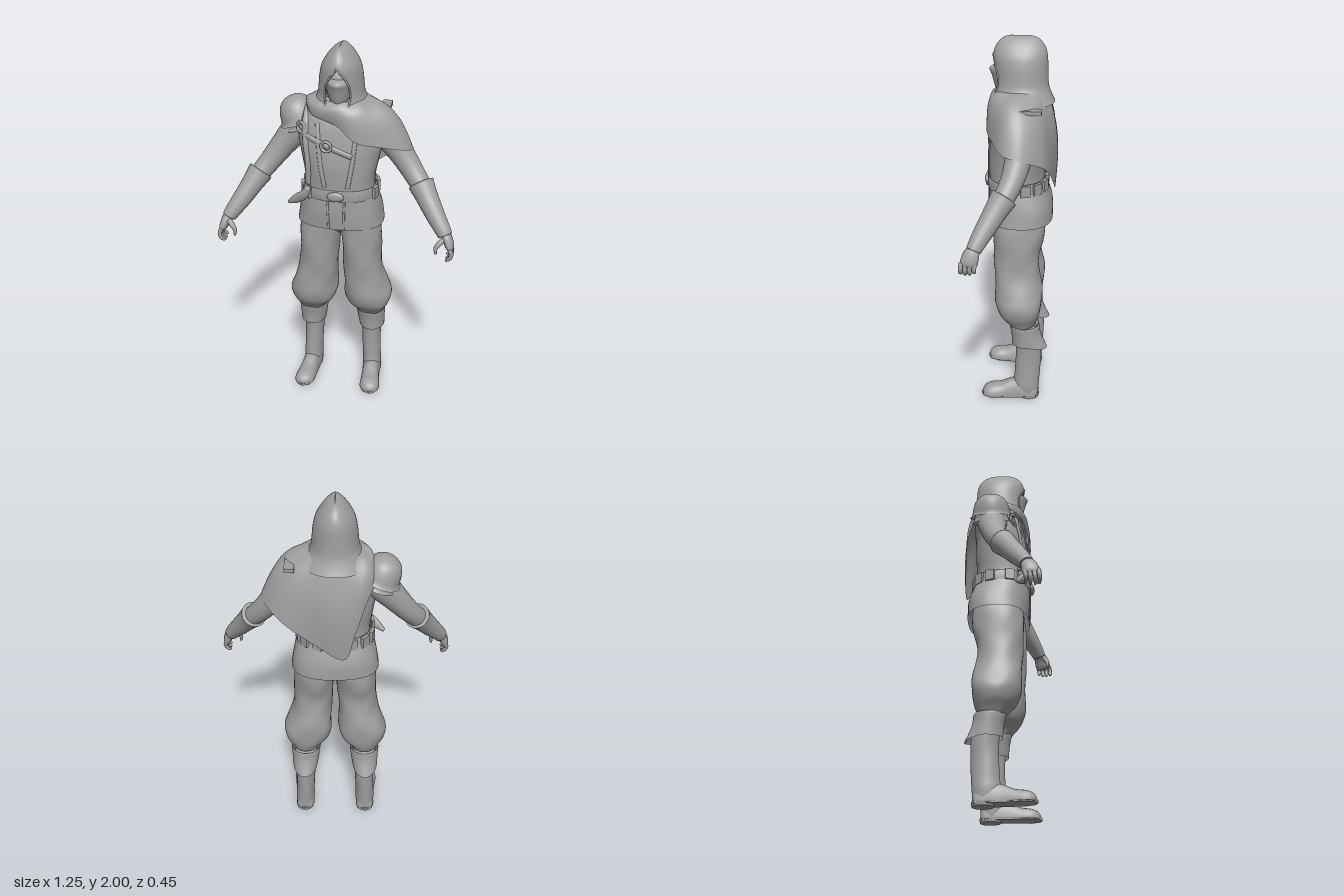
import * as THREE from 'three';

const V = (x, y, z) => new THREE.Vector3(x, y, z);
const grey = new THREE.MeshStandardMaterial({ color: 0xa0a0a0, side: THREE.DoubleSide });
grey.name = 'grey cloth';

// Skin a grid of points; each row is a loop (closed) or an open strip.
function skin(rows, closed = true) {
  const n = rows[0].length, pos = [], idx = [];
  rows.forEach(r => r.forEach(p => pos.push(p.x, p.y, p.z)));
  for (let i = 0; i < rows.length - 1; i++)
    for (let j = 0; j < (closed ? n : n - 1); j++) {
      const k = (j + 1) % n, a = i * n + j, b = i * n + k, c = a + n, d = b + n;
      idx.push(a, b, c, b, d, c);
    }
  const g = new THREE.BufferGeometry();
  g.setAttribute('position', new THREE.Float32BufferAttribute(pos, 3));
  g.setIndex(idx);
  g.computeVertexNormals();
  return g;
}

// Smoothly subdivide a list of equally long number tuples.
function smooth(keys, sub = 5) {
  const out = [], at = i => keys[Math.max(0, Math.min(keys.length - 1, i))];
  for (let i = 0; i < keys.length - 1; i++)
    for (let s = 0; s < sub; s++) {
      const t = s / sub;
      out.push(keys[i].map((b, k) => {
        const a = at(i - 1)[k], c = at(i + 1)[k], d = at(i + 2)[k];
        return b + 0.5 * t * (c - a + t * (2 * a - 5 * b + 4 * c - d + t * (3 * (b - c) + d - a)));
      }));
    }
  out.push(keys[keys.length - 1]);
  return out;
}

const pw = (v, e) => Math.sign(v) * Math.pow(Math.abs(v), e);

// Upright loft: rings are [y, centre x, centre z, radius x, radius z].
function loft(rings, { power = 2, fold = 0, cap = false, n = 40, sub = 5 } = {}) {
  const rows = smooth(rings, sub).map(([y, cx, cz, rx, rz]) => Array.from({ length: n }, (_, j) => {
    const a = j / n * Math.PI * 2;
    const f = 1 + fold * (Math.sin(3 * a + 24 * y) + 0.7 * Math.sin(5 * a - 31 * y + 1));
    return V(cx + rx * f * pw(Math.sin(a), 2 / power), y, cz + rz * f * pw(Math.cos(a), 2 / power));
  }));
  if (cap) {
    const centre = ([y, cx, cz]) => Array.from({ length: n }, () => V(cx, y, cz));
    rows.unshift(centre(rings[0]));
    rows.push(centre(rings[rings.length - 1]));
  }
  return skin(rows);
}

// Sweep along a path: points are [x, y, z, radius across, radius deep].
function sweep(points, n = 16, sub = 5) {
  const p = smooth(points, sub), rows = p.map((q, i) => {
    const a = p[Math.max(0, i - 1)], b = p[Math.min(p.length - 1, i + 1)];
    const d = V(b[0] - a[0], b[1] - a[1], b[2] - a[2]).normalize();
    const u = d.clone().cross(V(0, 0, 1)).normalize(), v = d.clone().cross(u);
    return Array.from({ length: n }, (_, j) => {
      const t = j / n * Math.PI * 2;
      return V(q[0], q[1], q[2]).addScaledVector(u, q[3] * Math.cos(t)).addScaledVector(v, (q[4] ?? q[3]) * Math.sin(t));
    });
  });
  const tip = q => Array.from({ length: n }, () => V(q[0], q[1], q[2]));
  return skin([tip(p[0]), ...rows, tip(p[p.length - 1])]);
}

const torsoRings = [[1.22, 0, -.015, .183, .145], [1.3, 0, -.013, .182, .145], [1.4, 0, -.015, .198, .148],
  [1.5, 0, -.02, .216, .143], [1.6, 0, -.035, .22, .138], [1.68, 0, -.045, .18, .118], [1.74, 0, -.04, .09, .08]];
const skirtRings = [[1.045, 0, -.04, .232, .166], [1.14, 0, -.035, .217, .167], [1.25, 0, -.015, .187, .148]];

// Depth of the tunic front at a given spot.
function frontZ(x, y) {
  const R = y < 1.22 ? skirtRings : torsoRings;
  let i = 0;
  while (i < R.length - 2 && R[i + 1][0] < y) i++;
  const t = (y - R[i][0]) / (R[i + 1][0] - R[i][0]), m = k => R[i][k] + (R[i + 1][k] - R[i][k]) * t;
  return m(2) + m(4) * Math.pow(Math.max(0, 1 - Math.pow(Math.abs(x / m(3)), 2.4)), 1 / 2.4);
}
const strap = (pts, w, d) => sweep(smooth(pts, 3).map(([x, y]) => [x, y, frontZ(x, y) + .001, w, d]), 10, 2);

export function createModel() {
  const model = new THREE.Group();
  const add = (name, g) => {
    const m = new THREE.Mesh(g, grey);
    m.name = name;
    model.add(m);
    return m;
  };

  // Tunic, skirt and chest details
  add('tunic', loft(torsoRings, { power: 2.4, fold: .006 }));
  add('skirt', loft(skirtRings, { power: 2.5, fold: .007 }));
  add('hips', loft([[.975, 0, -.035, .02, .06], [1.03, 0, -.035, .12, .11], [1.12, 0, -.035, .17, .13]], { cap: true }));
  for (const s of [-1, 1]) {
    add('chestSeam', strap([[s * .1, 1.62], [s * .085, 1.45], [s * .06, 1.29]], .012, .005));
    add('skirtSeam', strap([[s * .045, 1.21], [s * .042, 1.13], [s * .04, 1.05]], .006, .004));
  }
  add('chestStrap', strap([[-.19, 1.56], [-.05, 1.515], [.08, 1.465]], .015, .008));
  add('shoulderStrap', strap([[-.165, 1.69], [-.165, 1.55], [-.15, 1.42], [-.15, 1.28]], .018, .01));
  for (const [x, y, r] of [[-.05, 1.515, .026], [-.19, 1.585, .028]]) {
    const ring = add('strapRing', new THREE.TorusGeometry(r, .008, 8, 24));
    ring.position.set(x, y, frontZ(x, y) + .01);
    ring.rotation.y = x * 3;
  }

  // Belt, buckle, pouches and sheath
  add('belt', loft([[1.215, 0, -.017, .19, .15], [1.22, 0, -.017, .196, .155], [1.27, 0, -.015, .194, .154], [1.275, 0, -.015, .187, .148]], { power: 2.4, sub: 2 }));
  const buckle = add('buckle', new THREE.SphereGeometry(1, 24, 12));
  buckle.scale.set(.045, .027, .014);
  buckle.position.set(0, 1.245, .143);
  for (const a of [-2.75, -2.3, -1.85, -1.3, -.85, 1.3, 1.85, 2.3, 2.75, 3.14]) {
    const pouch = add('pouch', new THREE.BoxGeometry(.05, .06, .024));
    pouch.position.set(.195 * pw(Math.sin(a), .83), 1.243, -.016 + .155 * pw(Math.cos(a), .83));
    pouch.rotation.y = a;
  }
  add('sheath', sweep([[-.145, 1.28, .125, .014, .014], [-.17, 1.235, .118, .024, .016], [-.21, 1.2, .1, .026, .016], [-.26, 1.165, .08, .01, .01]]));

  // Face, mask and hood
  const face = add('head', new THREE.SphereGeometry(1, 32, 20));
  face.scale.set(.075, .115, .1);
  face.position.set(0, 1.825, -.005);
  add('mask', loft([[1.695, 0, .05, .012, .02], [1.735, 0, .04, .046, .056], [1.8, 0, .03, .066, .085], [1.835, 0, .028, .068, .098], [1.855, 0, .01, .07, .085]], { power: 1.7, cap: true }));
  add('neck', new THREE.CylinderGeometry(.065, .08, .14, 24)).position.set(0, 1.7, -.03);
  const hoodKeys = [[2, -.03, .0005, .05, 0], [1.987, -.03, .034, .088, 0], [1.95, -.03, .069, .122, 0], [1.905, -.03, .096, .136, .04],
    [1.85, -.033, .109, .136, .42], [1.8, -.035, .114, .135, .58], [1.75, -.037, .122, .138, .54], [1.71, -.04, .146, .148, .36], [1.67, -.047, .175, .16, .05]];
  add('hood', skin(smooth(hoodKeys).map(([y, cz, rx, rz, open]) => Array.from({ length: 49 }, (_, j) => {
    const gap = Math.max(0, open), a = gap + (Math.PI * 2 - 2 * gap) * j / 48;
    return V(rx * Math.sin(a), y, cz + rz * Math.cos(a));
  })), false));
  for (const s of [-1, 1])
    add('hoodHem', sweep(hoodKeys.slice(3).map(([y, cz, rx, rz, o]) => [s * rx * Math.sin(o), y, cz + rz * Math.cos(o), .005]), 8));

  // Lopsided shoulder cape with a pointed back
  const hem = new THREE.CatmullRomCurve3([V(-.13, 1.66, .075), V(0, 1.625, .115), V(.1, 1.55, .135), V(.22, 1.52, .1),
    V(.35, 1.485, .03), V(.37, 1.465, -.06), V(.28, 1.4, -.17), V(.1, 1.27, -.205), V(-.05, 1.185, -.215), V(-.1, 1.33, -.21),
    V(-.15, 1.5, -.195), V(-.2, 1.62, -.13), V(-.18, 1.68, -.02)], true, 'centripetal').getPoints(72).slice(0, 72);
  const capeRows = [];
  for (let i = 0; i <= 14; i++) {
    const t = i / 14;
    capeRows.push(hem.map(p => {
      const a = Math.atan2(p.x, p.z + .04), q = V(.118 * Math.sin(a), 1.74, -.04 + .127 * Math.cos(a)).lerp(p, t);
      const b = Math.sin(Math.PI * t), side = Math.max(0, Math.sin(a)), back = Math.max(0, -Math.cos(a));
      q.y += b * (.012 + .045 * side) + .004 * b * Math.sin(9 * a + 5 * t);
      q.x += Math.sin(a) * b * .025;
      q.z += Math.cos(a) * b * (.02 + .014 * back);
      return q;
    }));
  }
  add('cape', skin(capeRows));

  // Shoulder guard with a flared rim, and a tab on the other shoulder
  for (const k of [1, .9]) {
    const profile = [[0, .1], [.04, .093], [.075, .066], [.092, .025], [.1, -.015], [.112, -.03]];
    const guard = add('shoulderGuard', new THREE.LatheGeometry(smooth(profile, 3).map(([r, y]) => new THREE.Vector2(r * k, y - (1 - k) * .3)), 32));
    guard.position.set(-.232, 1.612, -.06);
    guard.rotation.z = .38;
    guard.scale.z = 1.05;
  }
  const tab = add('shoulderTab', new THREE.BoxGeometry(.05, .02, .14));
  tab.position.set(.222, 1.672, -.08);

  for (const s of [-1, 1]) {
    // Arm, bracer and hand
    const m = pts => pts.map(([x, ...r]) => [s * x, ...r]);
    add('arm', sweep(m([[.16, 1.61, -.06, .08], [.23, 1.54, -.055, .08], [.305, 1.45, -.04, .067], [.37, 1.365, -.015, .058], [.43, 1.29, .025, .052], [.5, 1.2, .085, .045], [.57, 1.09, .15, .03]]), 24));
    add('bracer', sweep(m([[.425, 1.303, .018, .068], [.46, 1.25, .053, .058], [.51, 1.175, .1, .05], [.557, 1.11, .14, .041], [.572, 1.085, .152, .037]]), 24));
    add('palm', sweep(m([[.567, 1.1, .148, .028, .03], [.586, 1.07, .162, .026, .04], [.6, 1.035, .172, .022, .043], [.606, 1.015, .176, .013, .037]])));
    for (let f = 0; f < 4; f++) {
      const z = .142 + f * .022, l = [.85, 1, 1, .92][f];
      add('finger', sweep(m([[.602, 1.035, z, .012], [.612, 1.035 - .03 * l, z + .005, .011], [.604, 1.035 - .055 * l, z + .006, .01], [.584, 1.035 - .07 * l, z + .004, .005]]), 8, 3));
    }
    add('thumb', sweep(m([[.573, 1.08, .175, .016], [.546, 1.055, .192, .014], [.53, 1.03, .2, .011], [.532, 1.0, .202, .006]]), 10, 3));

    // Baggy trouser leg
    const q = a => a.map(([y, x, ...r]) => [y, s * x, ...r]);
    add('trouserLeg', loft(q([[.455, .165, -.055, .07, .065], [.485, .165, -.05, .085, .084], [.53, .157, -.04, .118, .11], [.59, .153, -.036, .133, .125], [.66, .142, -.034, .121, .128],
      [.75, .126, -.025, .108, .121], [.85, .118, -.021, .106, .121], [.95, .114, -.029, .108, .134], [1.03, .108, -.034, .107, .137], [1.12, .1, -.035, .095, .13]]), { power: 2.2, fold: .016, cap: true }));

    // Boot: turned-down cuff, shaft, foot, sole and heel
    const cuff = loft(q([[.44, .166, -.066, .065, .066], [.462, .166, -.066, .081, .081], [.4, .168, -.075, .077, .079], [.34, .172, -.085, .071, .085]]), { sub: 4 });
    const cp = cuff.attributes.position;
    for (let i = 0; i < cp.count; i++) { // pull the hem down into a point at the back
      const back = Math.max(0, (-.1 - cp.getZ(i)) / .07), low = Math.max(0, (.42 - cp.getY(i)) / .08);
      cp.setY(i, cp.getY(i) - .02 * back * low);
      cp.setZ(i, cp.getZ(i) - .022 * back * low);
    }
    cuff.computeVertexNormals();
    add('bootCuff', cuff);
    add('bootShaft', loft(q([[.02, .176, -.088, .05, .058], [.08, .176, -.08, .054, .07], [.14, .174, -.084, .052, .07], [.25, .17, -.09, .053, .07], [.34, .169, -.088, .058, .07], [.42, .168, -.07, .06, .065]]), { fold: .008, cap: true }));
    const footRows = smooth([[-.148, .176, .004, .05], [-.13, .176, .046, .08], [-.06, .178, .052, .11], [0, .181, .05, .105], [.06, .187, .054, .08], [.115, .191, .056, .072], [.15, .193, .04, .056], [.166, .194, .004, .03]])
      .map(([z, x, w, h]) => Array.from({ length: 28 }, (_, j) => {
        const a = j / 28 * Math.PI * 2;
        return V(s * x + w * pw(Math.cos(a), .8), Math.max(.016, .02 + (h - .02) * Math.sin(a)), z);
      }));
    add('foot', skin(footRows));
    const outline = [[0, -.152], [.045, -.135], [.05, -.06], [.056, .03], [.068, .11], [.045, .158], [.018, .17], [-.02, .155], [-.042, .1], [-.046, 0], [-.052, -.08], [-.045, -.135]];
    const sole = new THREE.Shape(outline.map(([x, z]) => new THREE.Vector2(s * (x + .178), z)));
    add('sole', new THREE.ExtrudeGeometry(sole, { depth: .014, bevelEnabled: false }).rotateX(Math.PI / 2).translate(0, .024, 0));
    const heel = add('heel', new THREE.CylinderGeometry(.053, .05, .02, 24));
    heel.position.set(s * .178, .01, -.095);
    heel.scale.z = 1.08;
  }
  return model;
}
